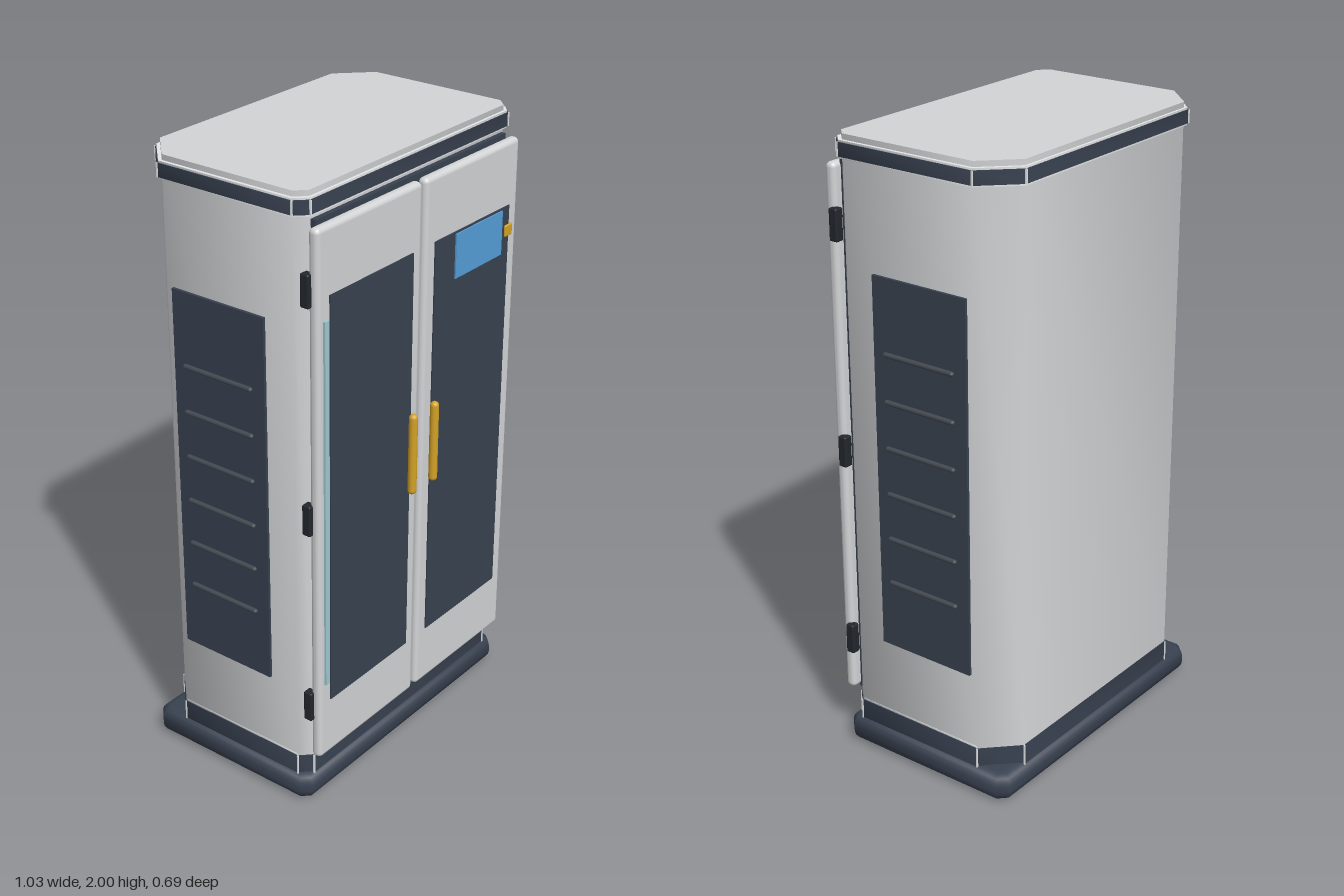
import * as THREE from 'three';
import { toCreasedNormals } from 'three/addons/utils/BufferGeometryUtils.js';
import { RoundedBoxGeometry } from 'three/addons/geometries/RoundedBoxGeometry.js';

const material = (name, color) => {
  const m = new THREE.MeshStandardMaterial({ color });
  m.name = name;
  return m;
};

// Corner points [x, z] of a rectangle with separate back and front chamfers
function outline(halfX, back, front, cutBack, cutFront) {
  const right = [
    [halfX - cutFront, front], [halfX, front - cutFront],
    [halfX, back + cutBack], [halfX - cutBack, back],
  ];
  return [...right, ...right.map(([x, z]) => [-x, z]).reverse()];
}

// Upright prism on an outline, optionally with rounded top and bottom edges
function prism(points, y0, y1, bevel = 0) {
  const shape = new THREE.Shape(points.map(([x, z]) => new THREE.Vector2(x, -z)));
  const geo = new THREE.ExtrudeGeometry(shape, {
    depth: y1 - y0 - 2 * bevel, bevelEnabled: bevel > 0, bevelSize: bevel,
    bevelOffset: -bevel, bevelThickness: bevel, bevelSegments: 4,
  });
  geo.rotateX(-Math.PI / 2).translate(0, y0 + bevel, 0);
  return toCreasedNormals(geo, 0.9);
}

export function createModel() {
  const group = new THREE.Group();
  group.name = 'cabinet';
  const shell = material('light grey shell', 0xd3d4d6);
  const navy = material('dark slate', 0x394251);
  const black = material('hinge black', 0x23272e);
  const slat = material('vent grey', 0x454a52);
  const trim = material('pale trim', 0xe4e6e8);
  const gold = material('gold', 0xd3a226);
  const blue = material('screen blue', 0x559fd8);
  const teal = material('pale teal', 0x9fcbd2);

  const add = (name, geo, mat, x = 0, y = 0, z = 0) => {
    const mesh = new THREE.Mesh(geo, mat);
    mesh.name = name;
    mesh.position.set(x, y, z);
    group.add(mesh);
    return mesh;
  };
  const box = (name, mat, x0, x1, y0, y1, z0, z1) => add(
    name, new THREE.BoxGeometry(Math.abs(x1 - x0), y1 - y0, z1 - z0), mat,
    (x0 + x1) / 2, (y0 + y1) / 2, (z0 + z1) / 2);

  // Main body and foot
  add('body', prism(outline(0.493, -0.331, 0.268, 0.1, 0.032), 0.15, 2), shell);
  add('foot', prism(outline(0.517, -0.348, 0.288, 0.032, 0.03), 0, 0.09, 0.035), navy);

  // Dark bands round the bottom and the top, with thin pale edging
  const bands = [
    { name: 'plinth', halfX: 0.497, back: -0.333, front: 0.272, y0: 0.08, y1: 0.152, rims: [0.152] },
    { name: 'crown', halfX: 0.506, back: -0.342, front: 0.28, y0: 1.935, y1: 1.977, rims: [1.929, 1.977] },
  ];
  for (const b of bands) {
    const pts = outline(b.halfX, b.back, b.front, 0.104, 0.036);
    add(b.name + 'Band', prism(pts, b.y0, b.y1), navy);
    const rimPts = outline(b.halfX - 0.003, b.back + 0.003, b.front - 0.003, 0.103, 0.035);
    for (const y of b.rims) add(b.name + 'Rim', prism(rimPts, y, y + 0.006), trim);
    for (const [x, z] of pts) {
      box(b.name + 'CornerTrim', trim, x - 0.0025, x + 0.0025, b.y0, b.y1, z - 0.0025, z + 0.0025);
    }
  }

  // Seal between the body and the doors
  box('doorSeal', navy, -0.455, 0.455, 0.165, 1.917, 0.26, 0.284);

  for (const s of [-1, 1]) {
    // Door, its dark panel and its handle
    add('door', new RoundedBoxGeometry(0.479, 1.735, 0.036, 4, 0.016), shell, s * 0.2475, 1.0375, 0.298);
    box('doorPanel', navy, s * 0.053, s * 0.437, 0.37, 1.703, 0.312, 0.32);
    add('handle', new THREE.CapsuleGeometry(0.014, 0.244, 6, 16), gold, s * 0.054, 1.056, 0.331);

    // Hinges
    for (const y of [0.36, 1.01, 1.725]) {
      add('hinge', new RoundedBoxGeometry(0.03, 0.1, 0.03, 2, 0.005), black, s * 0.486, y, 0.279);
    }

    // Side panel with its vent slats
    box('sidePanel', navy, s * 0.49, s * 0.502, 0.405, 1.607, -0.207, 0.134);
    for (let i = 0; i < 6; i++) {
      const bar = new THREE.CapsuleGeometry(0.008, 0.245, 4, 10).rotateX(Math.PI / 2);
      add('ventSlat', bar, slat, s * 0.508, 0.63 + i * 0.149, -0.037);
    }
  }

  // Details on the doors
  box('screen', blue, 0.153, 0.395, 1.556, 1.697, 0.316, 0.325);
  add('knob', new RoundedBoxGeometry(0.038, 0.038, 0.014, 2, 0.005), gold, 0.432, 1.624, 0.319);
  box('lightStrip', teal, -0.464, -0.445, 0.437, 1.633, 0.312, 0.323);

  return group;
}
